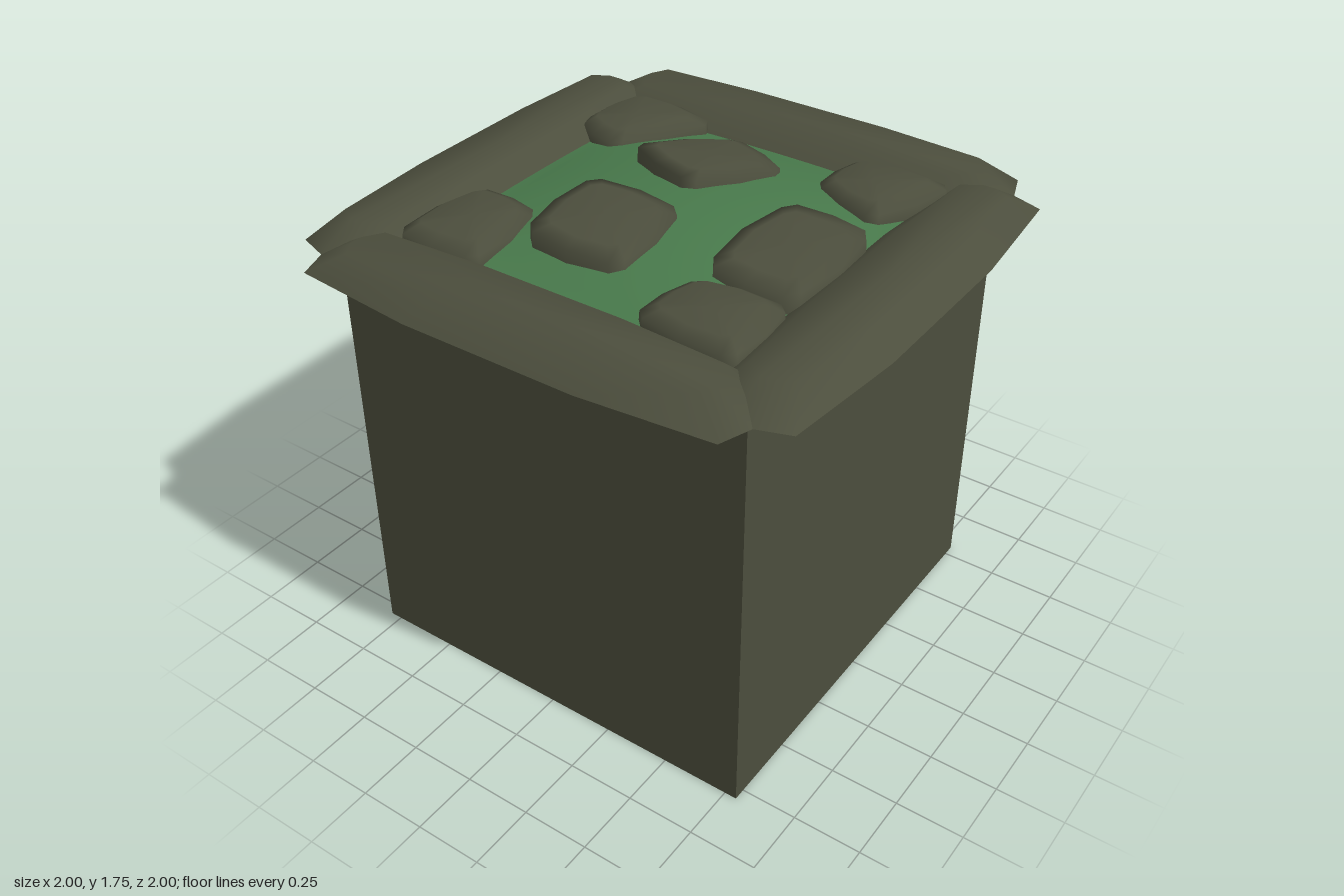
import * as THREE from 'three';

const stone = new THREE.MeshStandardMaterial({ color: 0x4c4e3d });
stone.name = 'stone';
const moss = new THREE.MeshStandardMaterial({ color: 0x48794b });
moss.name = 'moss';

const BASE = 1.6;

// Smooth mound lofted from an outline of [x, z] points (counter-clockwise from above).
// layers: [scaleX, scaleZ, height]; tilt leans everything above the base.
function mound(name, outline, layers, tiltX = 0, tiltZ = 0) {
  const n = outline.length;
  const cx = outline.reduce((s, p) => s + p[0], 0) / n;
  const cz = outline.reduce((s, p) => s + p[1], 0) / n;
  const pos = [], idx = [];
  layers.forEach(([sx, sz, y], k) => {
    for (const [x, z] of outline) {
      const dx = (x - cx) * sx, dz = (z - cz) * sz;
      pos.push(cx + dx, y + (k ? dx * tiltX + dz * tiltZ : 0), cz + dz);
    }
  });
  for (let k = 0; k < layers.length - 1; k++) {
    for (let i = 0; i < n; i++) {
      const j = (i + 1) % n, a = k * n + i, b = k * n + j;
      idx.push(a, b, b + n, a, b + n, a + n);
    }
  }
  // top cap shares its ring, bottom cap has its own for a hard edge
  const last = (layers.length - 1) * n, top = layers.length * n, low = top + 1;
  pos.push(cx, layers[layers.length - 1][2], cz);
  for (let i = 0; i < n; i++) idx.push(top, last + i, last + (i + 1) % n);
  for (const [x, z] of outline) pos.push(x, BASE, z);
  for (let i = 1; i < n - 1; i++) idx.push(low, low + i + 1, low + i);

  const geo = new THREE.BufferGeometry();
  geo.setAttribute('position', new THREE.Float32BufferAttribute(pos, 3));
  geo.setIndex(idx);
  geo.computeVertexNormals();
  const mesh = new THREE.Mesh(geo, stone);
  mesh.name = name;
  return mesh;
}

// Worn four-cornered outline: clipped corners and slightly bulging sides
function wornOutline(corners) {
  return corners.flatMap(([ax, az], i) => {
    const [bx, bz] = corners[(i + 1) % corners.length];
    const dx = bx - ax, dz = bz - az;
    return [[0.1, 0], [0.5, 0.05], [0.9, 0]].map(([t, out]) => [ax + dx * t - dz * out, az + dz * t + dx * out]);
  });
}

// A loose stone with a steep side, rounded shoulder and tilted top
function looseStone(name, height, drop, corners, tiltX, tiltZ) {
  const layers = [[1, 1, BASE], [0.98, 0.98, height - drop], [0.72, 0.72, height]];
  return mound(name, wornOutline(corners), layers, tiltX, tiltZ);
}

export function createModel() {
  const group = new THREE.Group();
  group.name = 'mossyStoneBlock';

  // Block body
  const body = new THREE.Mesh(new THREE.BoxGeometry(1.59, BASE, 1.59), stone);
  body.name = 'body';
  body.position.y = BASE / 2;
  group.add(body);

  // Gently domed moss bed
  const bedGeo = new THREE.PlaneGeometry(1.4, 1.4, 20, 20).rotateX(-Math.PI / 2);
  const p = bedGeo.attributes.position;
  const fall = (t) => Math.max(0, 1 - (t / 0.66) ** 2);
  for (let i = 0; i < p.count; i++) p.setY(i, BASE + 0.003 + 0.102 * fall(p.getX(i)) * fall(p.getZ(i)));
  bedGeo.computeVertexNormals();
  const bed = new THREE.Mesh(bedGeo, moss);
  bed.name = 'mossBed';
  group.add(bed);

  // Four rim stones, crossing at the corners
  const half = [[0.33, 1], [0.8, 0.955], [0.84, 0.84], [0.84, 0.76], [0.79, 0.64], [0.33, 0.6]];
  const rimOutline = [...half, ...half.map(([x, z]) => [-x, z]).reverse()];
  ['frontRim', 'leftRim', 'backRim', 'rightRim'].forEach((name, i) => {
    const rim = mound(name, rimOutline, [[1, 1, BASE], [0.84, 0.55, 1.68]]);
    rim.rotation.y = i * Math.PI / 2;
    group.add(rim);
  });

  // Loose stones set in the moss
  group.add(
    looseStone('backRightStone', 1.685, 0.03, [[-0.66, -0.68], [-0.66, -0.34], [-0.28, -0.37], [-0.25, -0.65]]),
    looseStone('backLeftStone', 1.685, 0.03, [[0.35, -0.7], [0.26, -0.48], [0.63, -0.27], [0.68, -0.65]]),
    looseStone('middleRightStone', 1.73, 0.02, [[-0.47, -0.29], [-0.47, 0.1], [-0.08, 0.08], [-0.08, -0.3]], 0.07, -0.04),
    looseStone('middleLeftStone', 1.725, 0.02, [[0.18, -0.33], [0.04, 0], [0.41, 0.17], [0.55, -0.12]], -0.16, -0.05),
    looseStone('frontRightStone', 1.685, 0.03, [[-0.62, 0.26], [-0.66, 0.65], [-0.31, 0.64], [-0.33, 0.3]]),
    looseStone('frontMiddleStone', 1.703, 0.015, [[-0.31, 0.31], [-0.31, 0.64], [0.2, 0.64], [0.2, 0.31]], 0, -0.06),
    looseStone('frontLeftStone', 1.685, 0.03, [[0.42, 0.28], [0.31, 0.56], [0.68, 0.69], [0.67, 0.31]]),
  );
  return group;
}
